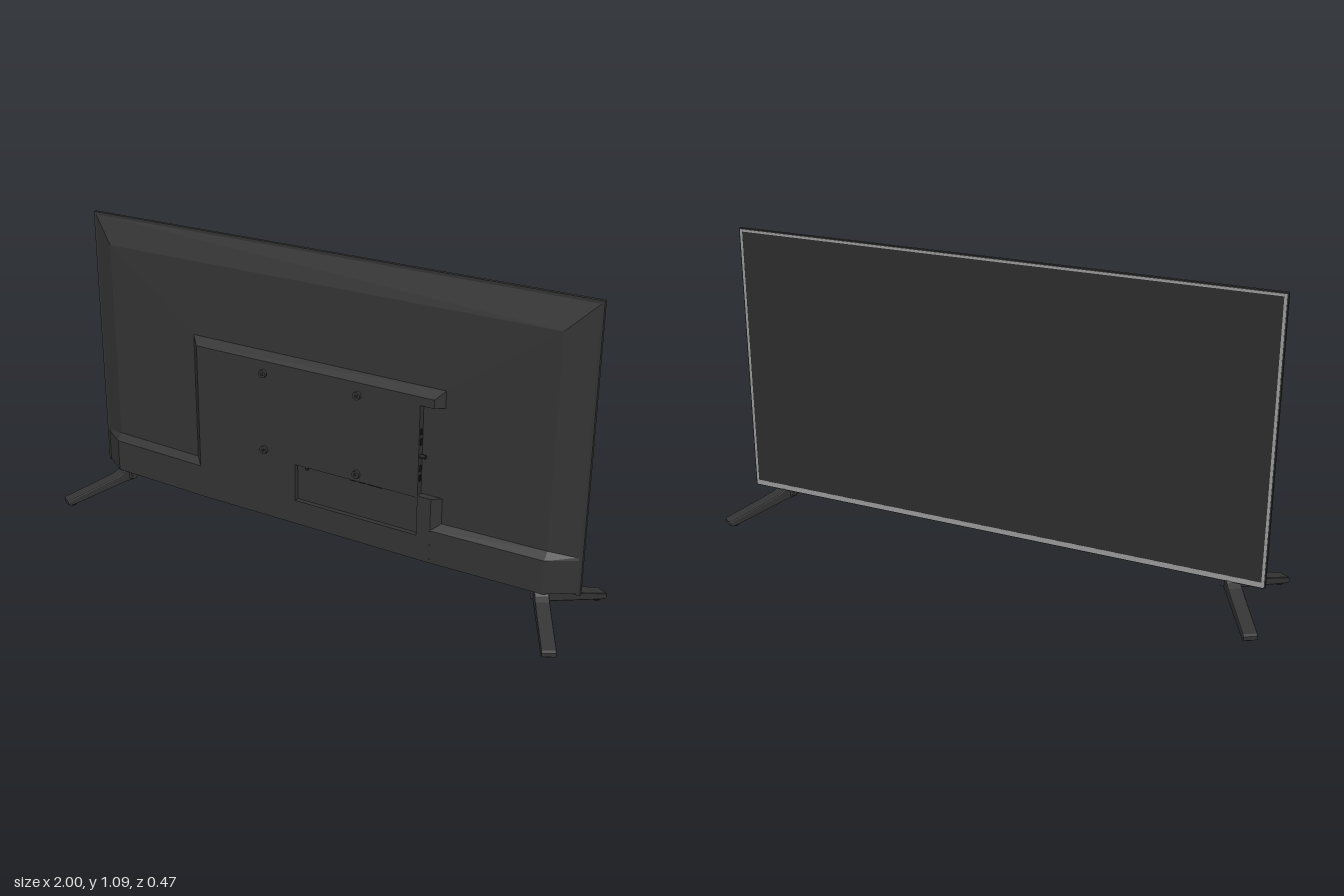
import * as THREE from 'three';

const mat = (color) => new THREE.MeshStandardMaterial({ color, side: THREE.DoubleSide, flatShading: true });
const shellMat = mat(0x333333), screenMat = mat(0x2c2c2c), trimMat = mat(0x999999), darkMat = mat(0x1c1c1c);

function add(parent, name, geometry, material, x = 0, y = 0, z = 0) {
  const mesh = new THREE.Mesh(geometry, material);
  mesh.name = name;
  mesh.position.set(x, y, z);
  parent.add(mesh);
  return mesh;
}

// Flat polygons, each a list of corners in order
function facets(polygons) {
  const pos = [];
  for (const p of polygons)
    for (let i = 1; i < p.length - 1; i++) pos.push(...p[0], ...p[i], ...p[i + 1]);
  const g = new THREE.BufferGeometry();
  g.setAttribute('position', new THREE.Float32BufferAttribute(pos, 3));
  g.computeVertexNormals();
  return g;
}

const outline = (pts, Type = THREE.Shape) => new Type(pts.map(([x, y]) => new THREE.Vector2(x, y)));
const rect = (x0, y0, x1, y1) => [[x0, y0], [x1, y0], [x1, y1], [x0, y1]];

function displayPanel(parent) {
  const panel = new THREE.Group();
  panel.name = 'displayPanel';
  add(panel, 'panelFrame', new THREE.BoxGeometry(1.948, 0.987, 0.013), shellMat, 0, 0.5925, -0.0325);
  // Light trim around the screen, wider along the bottom
  const ring = outline(rect(-0.97, 0.102, 0.97, 1.082));
  ring.holes.push(outline(rect(-0.961, 0.12, 0.961, 1.074), THREE.Path));
  add(panel, 'screenTrim', new THREE.ExtrudeGeometry(ring, { depth: 0.002, bevelEnabled: false }), trimMat, 0, 0, -0.0405);
  add(panel, 'screen', new THREE.BoxGeometry(1.922, 0.954, 0.002), screenMat, 0, 0.597, -0.0392);
  parent.add(panel);
}

function backShell(parent) {
  const shell = new THREE.Group();
  shell.name = 'backShell';
  const B = 0.105;
  const both = (y, x, z) => [[-x, y, z], [x, y, z]];
  const [oL, oR] = both(1.078, 0.967, -0.027), [mL, mR] = both(0.985, 0.87, 0.015), [iL, iR] = both(0.72, 0.5, 0.025);
  const low = (p) => [p[0], B, p[2]];
  add(shell, 'backCover', facets([
    [oL, mL, mR, oR], [mL, iL, iR, mR], [iL, low(iL), low(iR), iR],
    [oL, low(oL), low(mL), mL], [oR, mR, low(mR), low(oR)],
    [mL, low(mL), low(iL), iL], [mR, iR, low(iR), low(mR)],
  ]), shellMat);

  // Raised lower band with chamfered ends, one on each side
  const sections = [
    [0.46, [[B, -0.027], [B, 0.05], [0.225, 0.05], [0.25, 0.024]]],
    [0.87, [[B, -0.027], [B, 0.037], [0.225, 0.037], [0.25, 0.015]]],
    [0.962, [[B, -0.027], [B, -0.022], [0.225, -0.022], [0.235, -0.026]]],
  ];
  for (const s of [-1, 1]) {
    const faces = [];
    for (let i = 0; i < 2; i++) {
      const [xa, a] = sections[i], [xb, b] = sections[i + 1];
      for (let k = 0; k < 3; k++) {
        const f = [[s * xa, ...a[k]], [s * xb, ...b[k]], [s * xb, ...b[k + 1]], [s * xa, ...a[k + 1]]];
        faces.push(s > 0 ? f : f.reverse());
      }
    }
    add(shell, s > 0 ? 'lowerBandLeft' : 'lowerBandRight', facets(faces), shellMat);
  }
  parent.add(shell);
}

function electronicsHousing(parent) {
  const housing = new THREE.Group();
  housing.name = 'electronicsHousing';
  // Main block, notched at the side and recessed below
  const face = outline([[-0.47, 0.105], [0.47, 0.105], [0.47, 0.34], [0.42, 0.34],
    [0.42, 0.66], [0.47, 0.66], [0.47, 0.69], [-0.47, 0.69]]);
  face.holes.push(outline(rect(-0.06, 0.195, 0.419, 0.333), THREE.Path));
  add(housing, 'housingBlock', new THREE.ExtrudeGeometry(face, { depth: 0.07, bevelEnabled: false }), shellMat, 0, 0, -0.02);
  add(housing, 'recessFloor', new THREE.BoxGeometry(0.48, 0.14, 0.004), shellMat, 0.18, 0.264, 0.03);

  // Sloping edges, interrupted by the side notch
  const H = 0.05, L = 0.024;
  add(housing, 'housingSlopes', facets([
    [[-0.47, 0.69, H], [0.47, 0.69, H], [0.5, 0.72, L], [-0.5, 0.72, L]],
    [[-0.47, 0.69, H], [-0.5, 0.72, L], [-0.5, 0.23, L], [-0.47, 0.23, H]],
    [[0.47, 0.66, H], [0.5, 0.66, L], [0.5, 0.72, L], [0.47, 0.69, H]],
    [[0.47, 0.23, H], [0.5, 0.23, L], [0.5, 0.34, L], [0.47, 0.34, H]],
    [[0.47, 0.66, H], [0.47, 0.66, L], [0.5, 0.66, L]],
    [[0.47, 0.34, H], [0.5, 0.34, L], [0.47, 0.34, L]],
  ]), shellMat);

  // Wall mount sockets
  for (const x of [-0.187, 0.187])
    for (const y of [0.36, 0.645]) {
      const socket = add(housing, 'mountSocket', new THREE.CylinderGeometry(0.014, 0.015, 0.014, 20), shellMat, x, y, 0.053);
      socket.rotation.x = Math.PI / 2;
      const bore = add(housing, 'mountBore', new THREE.CylinderGeometry(0.007, 0.007, 0.002, 16), darkMat, x, y, 0.0597);
      bore.rotation.x = Math.PI / 2;
    }

  // Connectors in the recess ceiling and the side notch
  for (const x of [0.17, 0.205, 0.24, 0.27])
    add(housing, 'lowerPort', new THREE.BoxGeometry(0.024, 0.006, 0.009), darkMat, x, 0.331, 0.041);
  add(housing, 'roundLowerPort', new THREE.CylinderGeometry(0.007, 0.007, 0.012, 16), darkMat, -0.015, 0.328, 0.041);
  for (const y of [0.4, 0.435, 0.53, 0.565])
    add(housing, 'sidePort', new THREE.BoxGeometry(0.004, 0.022, 0.009), darkMat, 0.421, y, 0.038);
  const jack = add(housing, 'sideJack', new THREE.CylinderGeometry(0.007, 0.007, 0.022, 16), darkMat, 0.43, 0.48, 0.04);
  jack.rotation.z = Math.PI / 2;
  parent.add(housing);
}

function stand(parent, side) {
  const leg = new THREE.Group();
  leg.name = side > 0 ? 'standLeft' : 'standRight';
  leg.position.x = side * 0.85;
  // Side profile of one arm: distance outward, height
  const profile = outline([[-0.01, 0.067], [0.03, 0.062], [0.06, 0.054], [0.23, 0.013], [0.25, 0.01], [0.256, 0.013],
    [0.256, 0.023], [0.25, 0.027], [0.12, 0.064], [0.06, 0.083], [0.04, 0.094], [0.026, 0.108], [-0.01, 0.11]]);
  const armGeo = new THREE.ExtrudeGeometry(profile, {
    depth: 0.038, bevelThickness: 0.005, bevelSize: 0.003, bevelSegments: 2,
  }).translate(0, 0, -0.019);
  for (const dz of [-1, 1]) {
    const arm = new THREE.Group();
    arm.name = dz > 0 ? 'armBackward' : 'armForward';
    arm.rotation.y = -Math.atan2(dz * 0.22, side * 0.13);
    add(arm, 'armBar', armGeo, shellMat);
    add(arm, 'footPad', new THREE.CylinderGeometry(0.013, 0.012, 0.02, 16), darkMat, 0.232, 0.01, 0);
    leg.add(arm);
  }
  add(leg, 'neck', new THREE.BoxGeometry(0.05, 0.045, 0.046), shellMat, 0, 0.092, 0);
  parent.add(leg);
}

export function createModel() {
  const model = new THREE.Group();
  model.name = 'television';
  displayPanel(model);
  backShell(model);
  electronicsHousing(model);
  for (const side of [-1, 1]) stand(model, side);
  return model;
}
